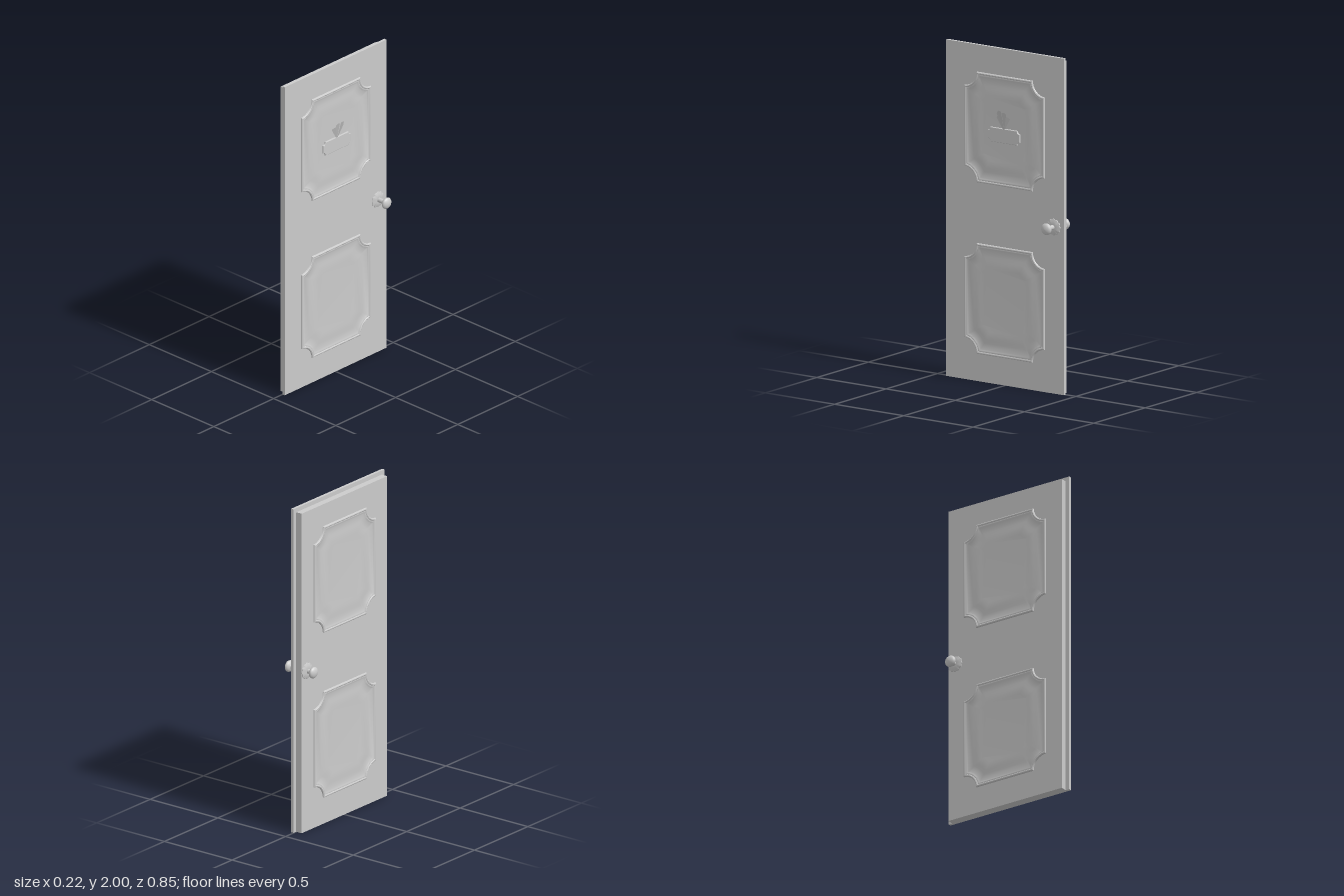
import * as THREE from 'three';
import { toCreasedNormals } from 'three/addons/utils/BufferGeometryUtils.js';

const grey = new THREE.MeshStandardMaterial({ color: 0xcccccc });
const thin = new THREE.MeshStandardMaterial({ color: 0xcccccc, side: THREE.DoubleSide });

function add(parent, name, geometry, material = grey) {
  const mesh = new THREE.Mesh(geometry, material);
  mesh.name = name;
  parent.add(mesh);
  return mesh;
}

// Rectangle with concave round corners, inset by d, counter-clockwise
function notchedOutline(w, h, r, d = 0, steps = 8) {
  const R = r + d, a0 = Math.asin(d / R), pts = [];
  for (const [sx, sy] of [[1, 1], [-1, 1], [-1, -1], [1, -1]]) {
    for (let i = 0; i <= steps; i++) {
      const t = sx * sy > 0 ? i / steps : 1 - i / steps;
      const a = a0 + t * (Math.PI / 2 - 2 * a0);
      // t = 0 lies on the horizontal edge mirror of t = 1
      pts.push(new THREE.Vector2(sx * (w - R * Math.sin(a)), sy * (h - R * Math.cos(a))));
    }
  }
  return pts;
}

// Moulded panel: rings of [inset, height] joined and closed by a flat field
function panelGeometry(w, h, r, profile) {
  const rings = profile.map(([d]) => notchedOutline(w, h, r, d));
  const n = rings[0].length, pos = [], idx = [];
  rings.forEach((ring, k) => ring.forEach((p) => pos.push(p.x, p.y, profile[k][1])));
  for (let k = 0; k < rings.length - 1; k++) {
    for (let i = 0; i < n; i++) {
      const j = (i + 1) % n, a = k * n + i, b = k * n + j;
      idx.push(a, b, b + n, a, b + n, a + n);
    }
  }
  const last = (rings.length - 1) * n;
  for (const [a, b, c] of THREE.ShapeUtils.triangulateShape(rings.at(-1), [])) {
    idx.push(last + a, last + b, last + c);
  }
  const g = new THREE.BufferGeometry();
  g.setAttribute('position', new THREE.Float32BufferAttribute(pos, 3));
  g.setIndex(idx);
  return toCreasedNormals(g, 0.6);
}

// Fan of flat blades leaning out from a common foot
function fanGeometry() {
  const tips = [[-0.036, 0.088, 0.014], [-0.022, 0.115, 0.03], [0, 0.128, 0.046],
    [0.022, 0.115, 0.03], [0.036, 0.088, 0.014]];
  const pos = [];
  for (const [x, y, z] of tips) {
    const tip = new THREE.Vector3(x, y, z);
    const side = new THREE.Vector3(0.013, -x * 0.2, -x * 0.2);
    const l = tip.clone().sub(side), r = tip.clone().add(side);
    const peak = tip.clone().multiplyScalar(1.05);
    pos.push(0, 0, 0, ...r.toArray(), ...peak.toArray());
    pos.push(0, 0, 0, ...peak.toArray(), ...l.toArray());
  }
  const g = new THREE.BufferGeometry();
  g.setAttribute('position', new THREE.Float32BufferAttribute(pos, 3));
  g.computeVertexNormals();
  return g;
}

const lathe = (pts, n) =>
  new THREE.LatheGeometry(pts.map(([x, y]) => new THREE.Vector2(x, y)), n);

// Rosette with a scalloped rim
function rosetteGeometry(height) {
  const g = lathe([[0.048, 0], [0.047, height * 0.4], [0.036, height * 0.75],
    [0.024, height], [0.014, height]], 72);
  const p = g.attributes.position;
  for (let i = 0; i < p.count; i++) {
    const x = p.getX(i), z = p.getZ(i), r = Math.hypot(x, z);
    if (r < 0.03) continue;
    const s = 1 + 0.05 * Math.cos(12 * Math.atan2(z, x));
    p.setX(i, x * s);
    p.setZ(i, z * s);
  }
  g.computeVertexNormals();
  return toCreasedNormals(g, 0.7);
}

export function createModel() {
  const door = new THREE.Group();
  door.name = 'door';

  // Door leaf with a rebated back
  const FRONT = 0.018, BACK = 0.04;
  add(door, 'frontSlab', new THREE.BoxGeometry(FRONT, 2, 0.85)).position.set(FRONT / 2, 1, 0);
  add(door, 'rebateSlab', new THREE.BoxGeometry(BACK, 1.975, 0.8)).position.set(-BACK / 2, 0.9875, 0);

  // Moulded panels, upper and lower, on both faces
  const profile = [[0, 0], [0.002, 0.006], [0.007, 0.009], [0.012, 0.008], [0.015, 0.005],
    [0.02, 0.006], [0.025, 0.004], [0.032, 0.001], [0.07, 0.0015], [0.09, 0.003],
    [0.125, 0.004], [0.14, 0.003]];
  const panel = panelGeometry(0.29, 0.329, 0.088, profile);
  const knobProfile = [[0.0001, 0.108], [0.012, 0.107], [0.024, 0.103], [0.032, 0.097],
    [0.035, 0.09], [0.032, 0.081], [0.025, 0.075], [0.017, 0.072], [0.014, 0.07]].reverse();

  for (const side of [1, -1]) {
    const depth = side > 0 ? FRONT : BACK;
    const face = new THREE.Group();
    face.name = side > 0 ? 'outerFace' : 'innerFace';
    face.position.x = side * depth;
    face.rotation.y = side * Math.PI / 2;
    door.add(face);
    add(face, 'upperPanel', panel).position.y = 1.51;
    add(face, 'lowerPanel', panel).position.y = 0.491;

    if (side > 0) {
      // Name plate with a fan ornament above it
      const plate = new THREE.ExtrudeGeometry(
        new THREE.Shape(notchedOutline(0.112, 0.04, 0.018, 0, 5)),
        { depth: 0.008, bevelSize: 0.003, bevelThickness: 0.003, bevelSegments: 2 });
      add(face, 'namePlate', plate).position.set(0, 1.484, 0.002);
      add(face, 'fan', fanGeometry(), thin).position.set(0, 1.51, 0.009);
    }

    // Knob on its stem and rosette
    const handle = new THREE.Group();
    handle.name = side > 0 ? 'outerKnob' : 'innerKnob';
    handle.position.set(0, 0.99, -0.352);
    handle.rotation.z = -side * Math.PI / 2;
    door.add(handle);
    add(handle, 'rosette', rosetteGeometry(0.011)).position.y = depth;
    add(handle, 'stem', new THREE.CylinderGeometry(0.014, 0.014, 0.075, 32)).position.y = 0.0375;
    add(handle, 'knob', lathe(knobProfile, 40));
  }
  return door;
}
